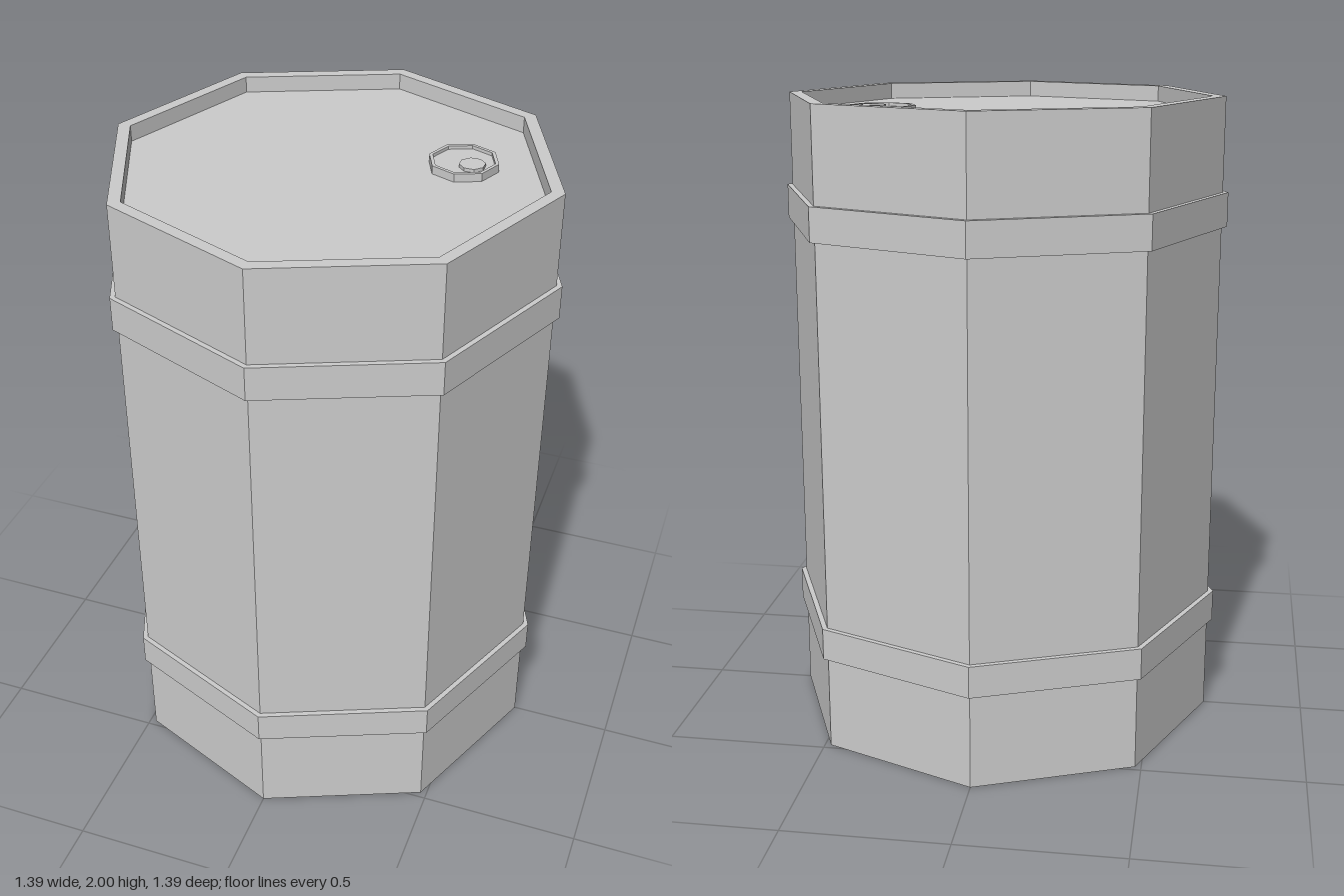
import * as THREE from 'three';

const material = new THREE.MeshStandardMaterial({ color: 0xcccccc, flatShading: true });

// Eight-sided turned part from a profile of [radius, height] points
function octagonPart(name, profile) {
  const points = profile.map(([r, y]) => new THREE.Vector2(r, y));
  const geometry = new THREE.LatheGeometry(points, 8).toNonIndexed();
  geometry.computeVertexNormals();
  const mesh = new THREE.Mesh(geometry, material);
  mesh.name = name;
  return mesh;
}

export function createModel() {
  const group = new THREE.Group();
  group.name = 'barrel';

  // Drum with a recessed lid and a recessed base
  const R = 0.68, RIM = 0.64, DEPTH = 0.05, H = 2;
  group.add(octagonPart('drumBody', [
    [0, DEPTH], [RIM, DEPTH], [RIM, 0], [R, 0],
    [R, H], [RIM, H], [RIM, H - DEPTH], [0, H - DEPTH],
  ]));

  // Two raised hoops around the wall
  for (const [name, y0, y1] of [['lowerHoop', 0.3, 0.4], ['upperHoop', 1.605, 1.71]]) {
    group.add(octagonPart(name, [[R, y0], [0.697, y0], [0.697, y1], [R, y1]]));
  }

  // Filler cap on the lid: thin rim around a shallow dish
  const cap = new THREE.Group();
  cap.name = 'fillerCap';
  cap.position.set(0.345, H - DEPTH, -0.168);
  cap.add(octagonPart('capRim', [
    [0.105, 0], [0.105, 0.025], [0.094, 0.025], [0.094, 0.015], [0, 0.015],
  ]));

  // Small off-centre plug in the cap
  const plug = octagonPart('capPlug', [[0.039, 0.01], [0.039, 0.025], [0, 0.025]]);
  plug.position.set(0.031, 0, 0.021);
  plug.rotation.y = Math.PI / 8;
  cap.add(plug);
  group.add(cap);

  return group;
}
